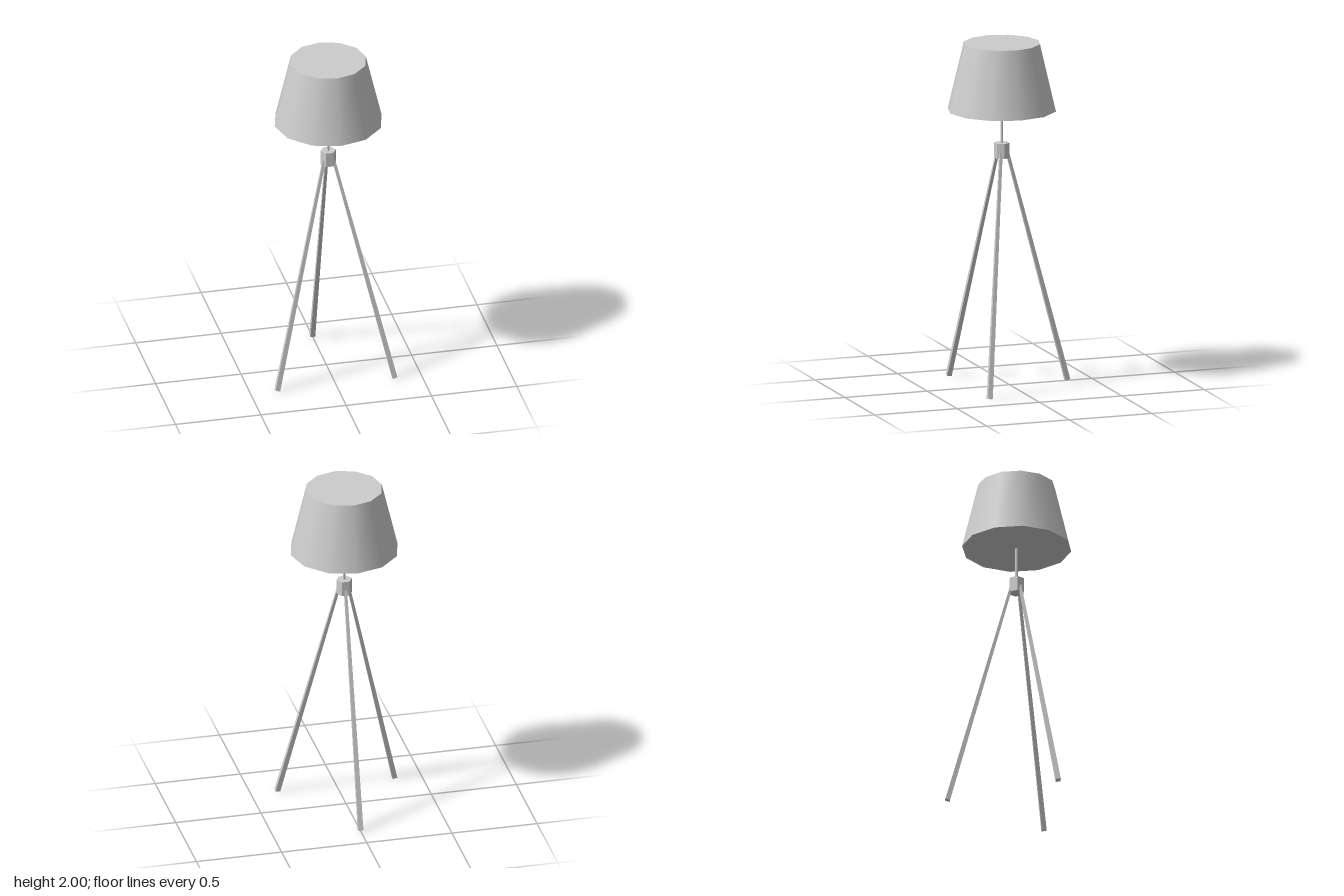
import * as THREE from 'three';

const AXIS_Z = 0.047; // the lamp's axis sits a little forward of centre

export function createModel() {
  const group = new THREE.Group();
  const grey = new THREE.MeshStandardMaterial({ color: 0xcccccc });
  grey.name = 'lightGrey';

  const add = (name, geometry) => {
    const mesh = new THREE.Mesh(geometry, grey);
    mesh.name = name;
    group.add(mesh);
    return mesh;
  };

  // Closed conical shade with twelve smooth sides
  add('shade', new THREE.CylinderGeometry(0.221, 0.3135, 0.39, 12))
    .position.set(0, 1.805, AXIS_Z);

  // Thin pole between hub and shade
  add('pole', new THREE.CylinderGeometry(0.008, 0.008, 0.24, 8))
    .position.set(0, 1.5, AXIS_Z);

  // Six-sided hub with corners to the left and right
  const hub = new THREE.CylinderGeometry(0.045, 0.045, 0.088, 6, 1, false, Math.PI / 6).toNonIndexed();
  hub.computeVertexNormals();
  add('hub', hub).position.set(0, 1.374, AXIS_Z);

  // Three square legs, tapering upward and splayed evenly
  const up = new THREE.Vector3(0, 1, 0);
  ['backLeg', 'leftLeg', 'rightLeg'].forEach((name, i) => {
    const a = Math.PI + i * Math.PI * 2 / 3 * -1;
    const at = (r, y) => new THREE.Vector3(Math.sin(a) * r, y, AXIS_Z + Math.cos(a) * r);
    const foot = at(0.397, 0.005);
    const top = at(0.03, 1.37);
    const axis = top.clone().sub(foot);
    const geometry = new THREE.CylinderGeometry(
      0.0113, 0.0198, axis.length(), 4, 1, false, Math.PI / 4).toNonIndexed();
    geometry.computeVertexNormals();
    const leg = add(name, geometry);
    leg.position.copy(foot).add(top).multiplyScalar(0.5);
    leg.quaternion.setFromUnitVectors(up, axis.normalize());
  });

  return group;
}
